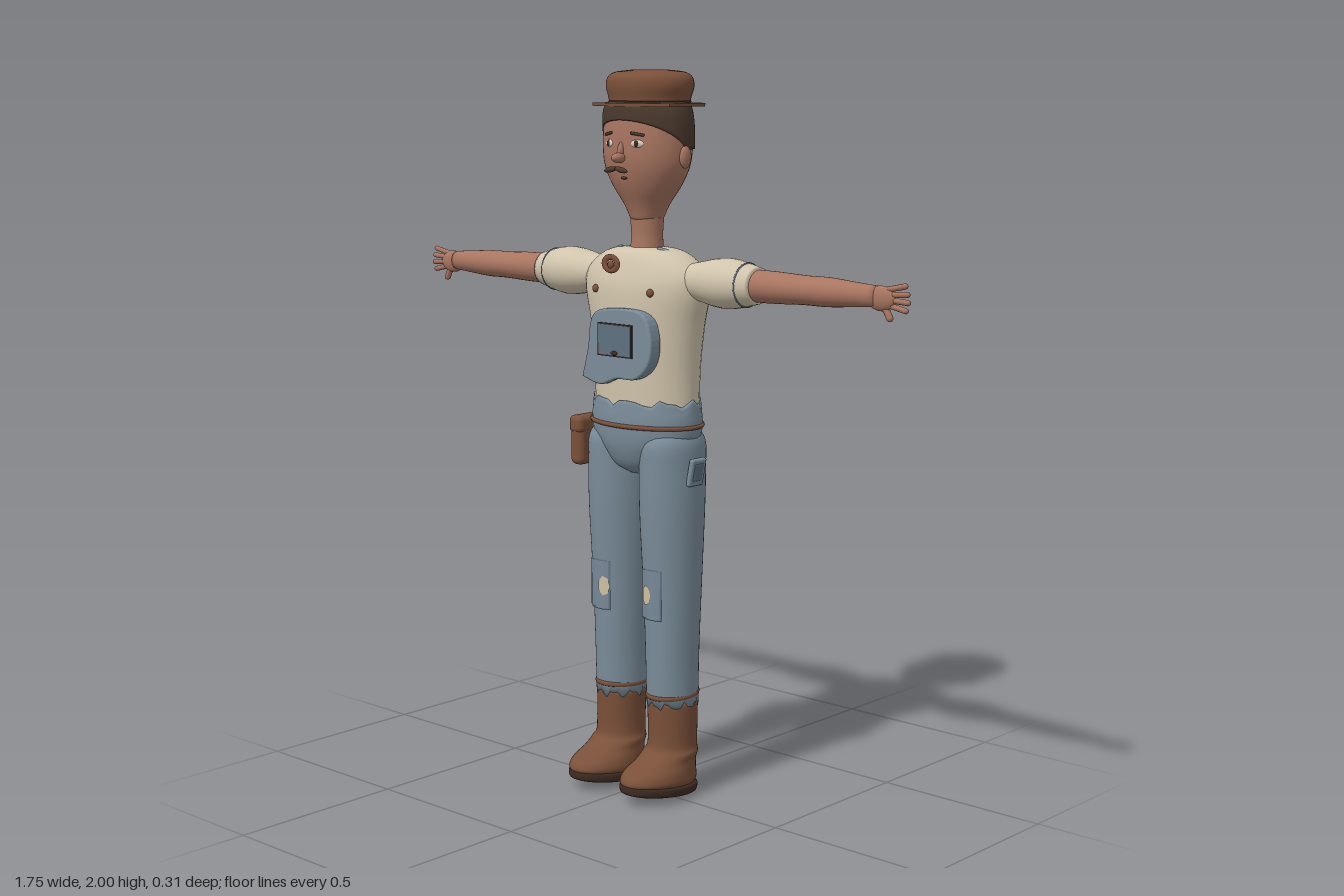
import * as THREE from 'three';
import { RoundedBoxGeometry } from 'three/addons/geometries/RoundedBoxGeometry.js';

const mat = (name, color, side = THREE.FrontSide) => {
  const m = new THREE.MeshStandardMaterial({ color, side });
  m.name = name;
  return m;
};

// Closed body through elliptical rings [y, rx, rz, xc, zc], listed upwards; warp moves each vertex.
function loft(rings, warp, seg = 40, sub = 5) {
  const size = new THREE.CatmullRomCurve3(rings.map(r => new THREE.Vector3(r[0], r[1], r[2])), false, 'catmullrom', 0.5);
  const mid = new THREE.CatmullRomCurve3(rings.map(r => new THREE.Vector3(r[0], r[3] || 0, r[4] || 0)), false, 'catmullrom', 0.5);
  const rows = (rings.length - 1) * sub, pos = [], idx = [], v = new THREE.Vector3();
  const push = (s, c, a, i, k) => {
    v.set(c.y + s.y * Math.sin(a) * k, s.x, c.z + s.z * Math.cos(a) * k);
    if (warp) warp(v, a, i / rows);
    pos.push(v.x, v.y, v.z);
  };
  for (let i = 0; i <= rows; i++) {
    const s = size.getPoint(i / rows), c = mid.getPoint(i / rows);
    for (let j = 0; j < seg; j++) push(s, c, j / seg * Math.PI * 2, i, 1);
  }
  for (const i of [0, rows]) push(size.getPoint(i / rows), mid.getPoint(i / rows), 0, i, 0);
  const bottom = (rows + 1) * seg, last = rows * seg;
  for (let j = 0; j < seg; j++) {
    const n = (j + 1) % seg;
    for (let i = 0; i < rows; i++) {
      const a = i * seg + j, b = i * seg + n;
      idx.push(a, b, b + seg, a, b + seg, a + seg);
    }
    idx.push(bottom, n, j, bottom + 1, last + j, last + n);
  }
  const g = new THREE.BufferGeometry();
  g.setAttribute('position', new THREE.Float32BufferAttribute(pos, 3));
  g.setIndex(idx);
  g.computeVertexNormals();
  return g;
}

function moveVertices(g, rule) {
  const p = g.attributes.position, v = new THREE.Vector3();
  for (let i = 0; i < p.count; i++) {
    v.fromBufferAttribute(p, i);
    rule(v);
    p.setXYZ(i, v.x, v.y, v.z);
  }
  g.computeVertexNormals();
  return g;
}

export function createModel() {
  const root = new THREE.Group();
  const skin = mat('skin', 0xa87560), shirt = mat('shirt cream', 0xd0c4ab), denim = mat('denim blue', 0x7a8c99);
  const darkDenim = mat('dark denim', 0x5f7080), leather = mat('brown leather', 0x7a5039), sole = mat('dark sole', 0x3d2b22);
  const hairMat = mat('dark hair', 0x4b3a2e), eyeWhite = mat('eye white', 0xddd3c4), patchBlue = mat('patch blue', 0x768896, THREE.DoubleSide);
  const tearMat = mat('tear cream', 0xcfc0a0, THREE.DoubleSide);

  const add = (name, geo, m, p = [0, 0, 0], parent = root, s = [1, 1, 1], r = [0, 0, 0]) => {
    const mesh = new THREE.Mesh(geo, m);
    mesh.name = name;
    mesh.position.set(...p);
    mesh.scale.set(...s);
    mesh.rotation.set(...r);
    parent.add(mesh);
    return mesh;
  };
  const ball = new THREE.SphereGeometry(1, 24, 16);
  const jag = a => 0.008 * Math.sin(a * 9) + 0.005 * Math.sin(a * 17 + 1);

  // Torso, hips and neck
  add('shirt', loft([[1.07, .166, .108, 0, -.037], [1.2, .169, .112, 0, -.037], [1.32, .185, .114, 0, -.037], [1.41, .207, .112, 0, -.037],
    [1.46, .2, .101, 0, -.037], [1.5, .155, .085, 0, -.036], [1.52, .105, .068, 0, -.035], [1.526, .05, .04, 0, -.035]]), shirt);
  add('trouserHips', loft([[.905, .045, .05, 0, -.036], [.93, .095, .088, 0, -.036], [.97, .138, .107, 0, -.036], [1.01, .17, .115, 0, -.036],
    [1.06, .176, .117, 0, -.036], [1.11, .17, .113, 0, -.036]], (v, a, t) => { if (t > .9) v.y += jag(a); }), denim);
  add('neck', loft([[1.49, .048, .05, 0, -.036], [1.56, .044, .043, 0, -.036], [1.65, .05, .05, 0, -.036]]), skin);
  const ring = new THREE.TorusGeometry(1, .05, 8, 48).rotateX(Math.PI / 2);
  add('belt', ring, leather, [0, 1.045, -.036], root, [.174, .13, .117]);
  add('beltPouch', new RoundedBoxGeometry(.045, .14, .1, 4, .018), leather, [-.186, .98, .01]);
  add('pouchFlap', new RoundedBoxGeometry(.05, .05, .106, 3, .016), leather, [-.186, 1.025, .01]);

  // Chest patch with a small pocket
  const outline = [[-.12, 1.175], [-.1, 1.25], [-.085, 1.335], [-.03, 1.358], [.085, 1.355], [.12, 1.3], [.115, 1.23], [.07, 1.185], [0, 1.18], [-.06, 1.16]];
  const patchShape = new THREE.Shape();
  patchShape.setFromPoints(new THREE.SplineCurve([...outline, outline[0]].map(p => new THREE.Vector2(...p))).getPoints(50));
  add('chestPatch', new THREE.ExtrudeGeometry(patchShape, { depth: .03, bevelEnabled: true, bevelSize: .006, bevelThickness: .006, bevelSegments: 3 }),
    denim, [0, 0, .055]);
  add('pocketEdge', new THREE.BoxGeometry(.126, .09, .008), sole, [0, 1.28, .0905]);
  add('pocketFront', new THREE.BoxGeometry(.118, .082, .009), darkDenim, [0, 1.28, .0915]);
  add('pocketButton', ball, sole, [0, 1.245, .096], root, [.012, .006, .004]);
  for (const s of [-1, 1]) {
    add('chestButton', ball, leather, [s * .1, 1.412, .062], root, [.011, .011, .008]);
    add('shoulderPatch', ball, denim, [s * .09, 1.515, -.02], root, [.032, .008, .012], [0, s * .5, -s * .35]);
  }
  add('collarOrnament', new THREE.TorusGeometry(.018, .008, 8, 20), leather, [0, 1.488, .108], root, [1.3, 1, .6]);
  add('collarOrnamentBead', ball, leather, [0, 1.485, .108], root, [.01, .012, .007]);

  // Head
  const headRings = [[1.6, .044, .045, 0, -.036], [1.64, .064, .06, 0, -.036], [1.69, .1, .084, 0, -.036], [1.74, .125, .1, 0, -.037],
    [1.79, .133, .106, 0, -.038], [1.85, .131, .106, 0, -.039], [1.91, .12, .102, 0, -.041]];
  add('head', loft(headRings), skin);
  // Hair sits over the skull, with an arched front hairline
  add('hair', loft([[1.79, .136, .111, 0, -.041], [1.85, .135, .111, 0, -.041], [1.89, .128, .109, 0, -.041], [1.915, .118, .1, 0, -.042]], (v, a, t) => {
    const low = 1.79 + .077 * Math.pow(Math.max(0, Math.cos(a)), .75);
    v.y = low + (1.915 - low) * (v.y - 1.79) / .125;
  }, 64), hairMat);
  add('nose', ball, skin, [0, 1.768, .076], root, [.014, .014, .026]);
  add('noseBridge', ball, skin, [0, 1.788, .066], root, [.009, .028, .014], [-.35, 0, 0]);
  add('mouth', ball, hairMat, [0, 1.714, .054], root, [.012, .004, .006]);
  for (const s of [-1, 1]) {
    add('ear', ball, skin, [s * .134, 1.77, -.04], root, [.012, .03, .02]);
    add('eye', ball, eyeWhite, [s * .05, 1.806, .056], root, [.02, .012, .008], [0, s * .35, 0]);
    add('iris', ball, sole, [s * .049, 1.806, .0625], root, [.007, .009, .004]);
    add('eyebrow', new THREE.CapsuleGeometry(.004, .034, 4, 8), hairMat, [s * .052, 1.831, .06], root, [1, 1, 1], [0, s * .4, Math.PI / 2 - s * .15]);
    add('moustache', ball, hairMat, [s * .019, 1.737, .088], root, [.023, .0075, .008], [0, 0, -s * .2]);
  }

  // Cap: soft crown, thin angular brim
  add('capCrown', loft([[1.9, .115, .1, 0, -.046], [1.925, .118, .103, 0, -.046], [1.955, .127, .109, 0, -.047], [1.98, .122, .105, 0, -.047],
    [1.994, .1, .085, 0, -.047], [2, .05, .04, 0, -.047]]), leather);
  const brim = new THREE.Shape();
  brim.moveTo(-.138, .115);
  brim.quadraticCurveTo(0, .185, .138, .115);
  brim.lineTo(.14, -.03);
  brim.quadraticCurveTo(.07, -.06, 0, -.075);
  brim.quadraticCurveTo(-.07, -.06, -.14, -.03);
  brim.closePath();
  add('capBrim', new THREE.ExtrudeGeometry(brim, { depth: .009, bevelEnabled: false, curveSegments: 16 }).rotateX(-Math.PI / 2), leather, [0, 1.903, 0]);
  add('capBand', ring, sole, [0, 1.915, -.046], root, [.113, .08, .099]);

  // Arms, built along +x and turned round for the other side
  const along = rings => loft(rings, null, 28).rotateZ(-Math.PI / 2);
  for (const side of ['left', 'right']) {
    const arm = new THREE.Group();
    arm.name = side + 'Arm';
    arm.position.set(0, 1.443, -.04);
    if (side === 'right') arm.rotation.y = Math.PI;
    root.add(arm);
    add('sleeve', along([[.13, .04, .045], [.19, .052, .055], [.25, .064, .066], [.3, .067, .069], [.35, .058, .06], [.392, .048, .05]]), shirt, [0, 0, 0], arm);
    add('sleeveSeam', new THREE.TorusGeometry(.0575, .003, 6, 32).rotateY(Math.PI / 2), darkDenim, [.353, 0, 0], arm);
    add('forearm', along([[.37, .043, .045], [.45, .042, .044], [.55, .038, .043], [.62, .038, .041], [.7, .032, .032], [.77, .027, .021]]), skin, [0, 0, 0], arm);
    add('palm', ball, skin, [.785, -.004, 0], arm, [.045, .032, .017]);
    for (let i = 0; i < 4; i++) {
      const tilt = (i - 1.5) * .14;
      add('finger', new THREE.CapsuleGeometry(.0075, .055, 4, 10), skin, [.84 - Math.abs(i - 1.3) * .006, (i - 1.5) * .0165, 0], arm, [1, 1, 1], [0, 0, tilt - Math.PI / 2]);
    }
    add('thumb', new THREE.CapsuleGeometry(.009, .035, 4, 10), skin, [.803, -.037, 0], arm, [1, 1, 1], [0, 0, .5]);
  }

  // Legs and boots
  const onLeg = s => v => { v.z = -.036 + .086 * Math.sqrt(Math.max(0, 1 - ((v.x - s * .096) / .078) ** 2)) + v.z; };
  for (const s of [-1, 1]) {
    const leg = new THREE.Group();
    leg.name = s > 0 ? 'leftLeg' : 'rightLeg';
    root.add(leg);
    const x = s * .096;
    add('trouserLeg', loft([[.265, .069, .077, x, -.037], [.4, .07, .08, x, -.036], [.58, .077, .085, x, -.036], [.8, .085, .096, x, -.034],
      [.93, .084, .101, x, -.035], [1, .08, .1, x, -.036], [1.04, .06, .07, x, -.036]], (v, a, t) => { if (t < .02) v.y += jag(a + s); }), denim, [0, 0, 0], leg);
    add('legTie', ring, leather, [x, .29, -.037], leg, [.067, .14, .078], [s * .04, 0, 0]);
    add('kneePatch', moveVertices(new THREE.PlaneGeometry(.082, .135, 10, 2).translate(s * .096 - .012, .582, .005), onLeg(s)), patchBlue, [0, 0, 0], leg);
    add('kneePatchEdge', moveVertices(new THREE.PlaneGeometry(.09, .143, 10, 2).translate(s * .096 - .012, .582, .003), onLeg(s)), darkDenim, [0, 0, 0], leg);
    add('kneeTear', moveVertices(new THREE.CircleGeometry(.022, 7).scale(.85, 1.3, 1).translate(s * .08, .58, .008), onLeg(s)), tearMat, [0, 0, 0], leg);
    add('hipPatch', new RoundedBoxGeometry(.016, .078, .058, 2, .006), denim, [s * .186, .925, -.03], leg, [1, 1, 1], [0, 0, -s * .2]);
    add('hipPatchInset', new RoundedBoxGeometry(.008, .05, .036, 2, .003), darkDenim, [s * .192, .925, -.03], leg, [1, 1, 1], [0, 0, -s * .2]);
    // Boot: the foot widens forwards and the toe tips up
    const bx = s * .098;
    add('boot', loft([[.036, .07, .12, bx, .022], [.055, .082, .131, bx, .023], [.08, .079, .122, bx, .016], [.105, .072, .098, bx, -.008],
      [.125, .073, .083, bx, -.026], [.145, .066, .074, bx, -.034], [.2, .066, .073, bx, -.036], [.275, .068, .075, x, -.037]],
      v => { v.y += .12 * (v.z - .02) * Math.max(0, 1 - v.y / .14); }), leather, [0, 0, 0], leg);
    add('sole', loft([[-.016, .07, .115], [-.01, .083, .13], [.008, .085, .133], [.014, .078, .125]]), sole, [bx, .032, .022], leg, [1, 1, 1], [-.125, 0, 0]);
  }
  return root;
}
